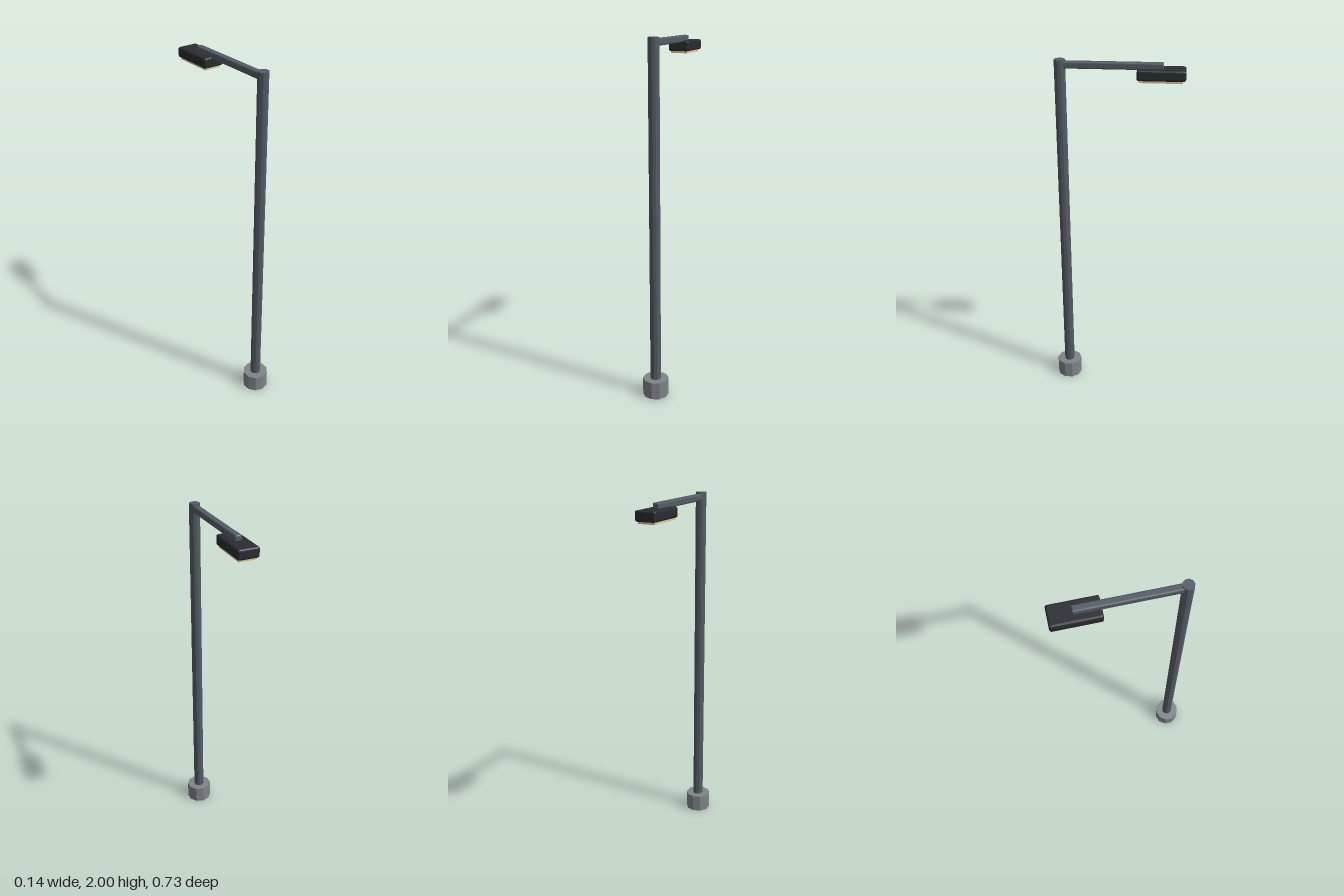
import * as THREE from 'three';
import { RoundedBoxGeometry } from 'three/addons/geometries/RoundedBoxGeometry.js';

const SIDES = 10;
const POLE_Z = 0.291;

export function createModel() {
  const lamp = new THREE.Group();
  lamp.name = 'streetLamp';

  const paint = (color) => new THREE.MeshStandardMaterial({ color, flatShading: true });
  const steel = paint(0x555c66);
  const concrete = paint(0x80848a);
  const housing = paint(0x2a2c32);
  const glass = paint(0xe0c898);

  const add = (name, geometry, material, y, z) => {
    const mesh = new THREE.Mesh(geometry, material);
    mesh.name = name;
    mesh.position.set(0, y, z);
    lamp.add(mesh);
  };
  const post = (radius, height) => new THREE.CylinderGeometry(radius, radius, height, SIDES);

  // Footing and upright pole
  add('base', post(0.073, 0.1), concrete, 0.05, POLE_Z);
  add('pole', post(0.03, 1.9), steel, 1.05, POLE_Z);

  // Arm reaching back from the pole top, starting inside the pole
  const armEnd = -0.249;
  add('arm', new RoundedBoxGeometry(0.038, 0.037, POLE_Z - armEnd, 2, 0.008),
    steel, 1.973, (POLE_Z + armEnd) / 2);

  // Lamp head with the light panel on its underside
  add('lampHead', new RoundedBoxGeometry(0.118, 0.056, 0.253, 2, 0.011), housing, 1.935, -0.2375);
  add('lightPanel', new THREE.BoxGeometry(0.094, 0.02, 0.226), glass, 1.906, -0.2355);

  return lamp;
}
